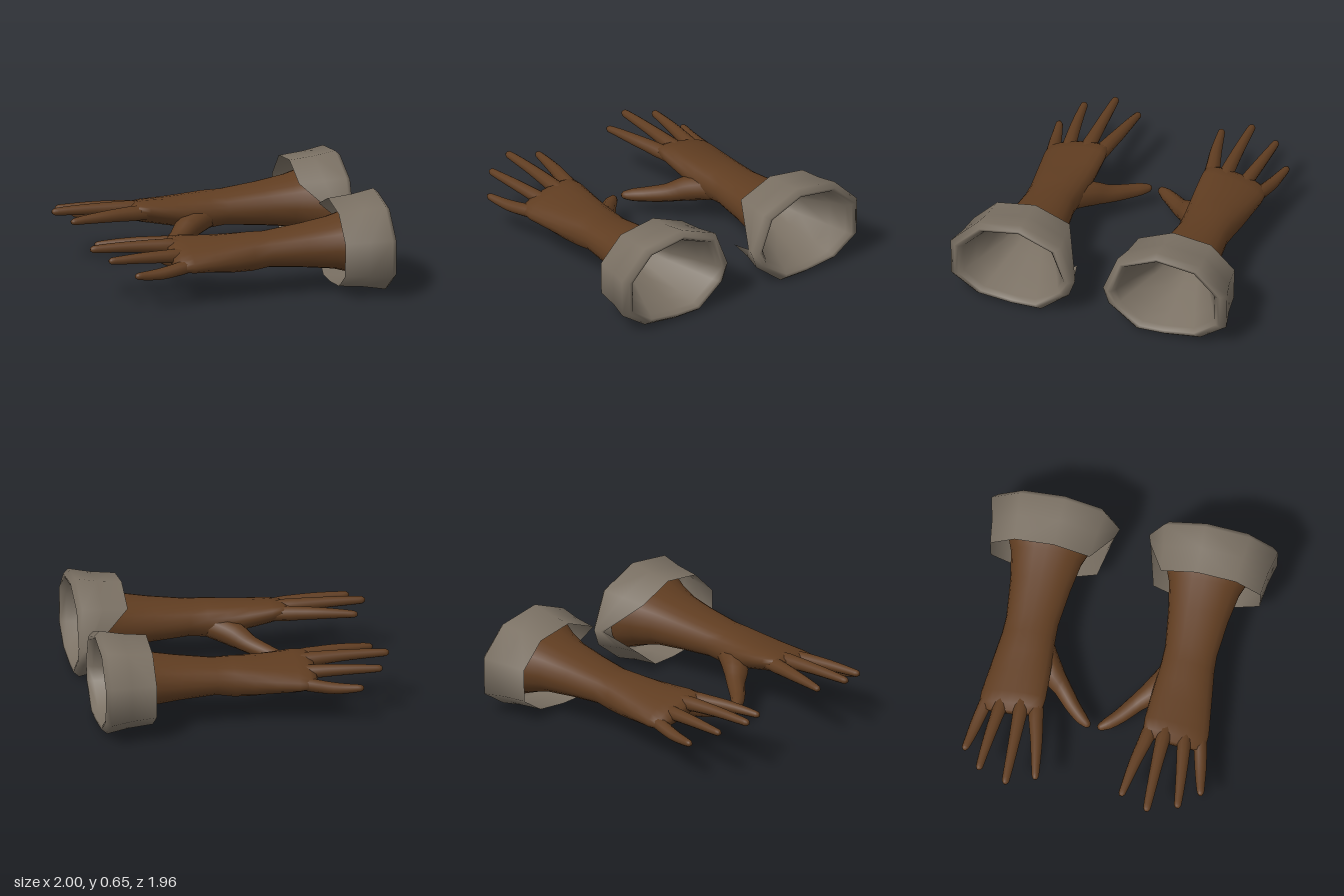
import * as THREE from 'three';

const V = (x, y, z) => new THREE.Vector3(x, y, z);

// Skin a list of equal-length rings, optionally closing the ends; mirror flips z.
function loft(rings, { start, end, mirror } = {}) {
  const n = rings[0].length, pos = [], idx = [];
  const push = (p) => pos.push(p.x, p.y, mirror ? -p.z : p.z);
  const tri = (a, b, c) => (mirror ? idx.push(a, c, b) : idx.push(a, b, c));
  rings.forEach((r) => r.forEach(push));
  for (let i = 0; i < rings.length - 1; i++) {
    for (let j = 0; j < n; j++) {
      const a = i * n + j, b = i * n + ((j + 1) % n);
      tri(a, b, a + n);
      tri(b, b + n, a + n);
    }
  }
  const cap = (i, first) => {
    const c = pos.length / 3;
    push(rings[i].reduce((s, p) => s.add(p), V(0, 0, 0)).divideScalar(n));
    for (let j = 0; j < n; j++) {
      const a = i * n + j, b = i * n + ((j + 1) % n);
      if (first) tri(c, b, a); else tri(c, a, b);
    }
  };
  if (start) cap(0, true);
  if (end) cap(rings.length - 1, false);
  const g = new THREE.BufferGeometry();
  g.setAttribute('position', new THREE.Float32BufferAttribute(pos, 3));
  g.setIndex(idx);
  g.computeVertexNormals();
  return g;
}

// Tapered round limb through [x, y, z, radius] stations
function limbRings(stations, sides = 10) {
  const curve = new THREE.CatmullRomCurve3(stations.map(([x, y, z]) => V(x, y, z)));
  const up = V(0, 1, 0), last = stations.length - 1, steps = last * 3, rings = [];
  for (let i = 0; i <= steps; i++) {
    const t = i / steps, k = Math.min(Math.floor(t * last), last - 1);
    const r = THREE.MathUtils.lerp(stations[k][3], stations[k + 1][3], t * last - k);
    const c = curve.getPoint(t), d = curve.getTangent(t);
    const side = up.clone().cross(d).normalize(), top = d.clone().cross(side);
    rings.push(Array.from({ length: sides }, (_, j) => {
      const a = (j / sides) * Math.PI * 2;
      return c.clone().addScaledVector(side, r * Math.cos(a)).addScaledVector(top, r * Math.sin(a));
    }));
  }
  return rings;
}

// Forearm to knuckles: x, z min, z max, y min, y max, tilt toward the little finger
const ARM = [
  [0.9, 0.19, 0.89, 0.07, 0.57, 0],
  [0.78, 0.25, 0.83, 0.115, 0.52, 0],
  [0.65, 0.3, 0.78, 0.15, 0.485, 0],
  [0.45, 0.335, 0.745, 0.172, 0.452, 0],
  [0.2, 0.365, 0.72, 0.192, 0.42, 0],
  [0.08, 0.362, 0.725, 0.175, 0.42, -0.03],
  [-0.05, 0.352, 0.742, 0.185, 0.41, -0.08],
  [-0.2, 0.343, 0.76, 0.21, 0.4, -0.14],
  [-0.35, 0.338, 0.778, 0.235, 0.395, -0.2],
  [-0.43, 0.345, 0.775, 0.255, 0.385, -0.22],
  [-0.475, 0.39, 0.73, 0.285, 0.36, -0.22],
];

function armRings() {
  const sides = 20;
  return ARM.map(([x, z0, z1, y0, y1, tilt]) => Array.from({ length: sides }, (_, j) => {
    const a = (j / sides) * Math.PI * 2, c = Math.cos(a), s = Math.sin(a);
    const dz = (z1 - z0) / 2 * Math.sign(c) * Math.abs(c) ** 0.9;
    const dy = (y1 - y0) / 2 * Math.sign(s) * Math.abs(s) ** 0.9;
    return V(x, (y0 + y1) / 2 + dy + tilt * dz, (z0 + z1) / 2 + dz);
  }));
}

const DIGITS = {
  indexFinger: [[-0.32, 0.345, 0.4, 0.045], [-0.46, 0.35, 0.382, 0.051], [-0.65, 0.355, 0.34, 0.041],
    [-0.83, 0.352, 0.308, 0.029], [-0.9, 0.348, 0.296, 0.023], [-0.918, 0.346, 0.293, 0.012]],
  middleFinger: [[-0.32, 0.345, 0.495, 0.045], [-0.46, 0.36, 0.488, 0.05], [-0.7, 0.372, 0.484, 0.038],
    [-0.9, 0.374, 0.483, 0.03], [-0.98, 0.373, 0.483, 0.025], [-1.0, 0.372, 0.483, 0.012]],
  ringFinger: [[-0.32, 0.315, 0.61, 0.045], [-0.46, 0.328, 0.63, 0.047], [-0.68, 0.338, 0.657, 0.037],
    [-0.83, 0.339, 0.672, 0.029], [-0.905, 0.339, 0.678, 0.024], [-0.923, 0.338, 0.679, 0.012]],
  littleFinger: [[-0.3, 0.29, 0.7, 0.045], [-0.44, 0.27, 0.737, 0.045], [-0.58, 0.252, 0.768, 0.04],
    [-0.69, 0.252, 0.79, 0.031], [-0.755, 0.256, 0.804, 0.024], [-0.775, 0.257, 0.807, 0.012]],
  thumb: [[0.06, 0.28, 0.46, 0.09], [-0.1, 0.23, 0.35, 0.085], [-0.19, 0.19, 0.255, 0.062],
    [-0.29, 0.163, 0.165, 0.052], [-0.36, 0.152, 0.09, 0.043], [-0.397, 0.15, 0.04, 0.025], [-0.404, 0.15, 0.028, 0.01]],
};

// Ten-sided cuff outline as [z, y]; corner 4 carries the V-shaped slit
const OUTLINE = [[0.98, 0.42], [0.79, 0.61], [0.48, 0.655], [0.2, 0.54], [0.1, 0.28],
  [0.14, 0.165], [0.34, 0.005], [0.54, 0.005], [0.79, 0.035], [0.975, 0.16]];
const SLIT = 4;

const cuffRing = (x, s, slitX = x, slitS = s) => OUTLINE.map(([z, y], j) => {
  const k = j === SLIT ? slitS : s;
  return V(j === SLIT ? slitX : x, 0.31 + (y - 0.31) * k, 0.54 + (z - 0.54) * k);
});

// Inner funnel, rolled rim, then outer wall
const cuffRings = () => [
  cuffRing(0.5, 0.33), cuffRing(0.65, 0.44), cuffRing(0.85, 0.68), cuffRing(0.96, 0.79),
  cuffRing(0.995, 0.85), cuffRing(1, 0.91), cuffRing(0.965, 1),
  cuffRing(0.82, 0.92, 0.925, 0.97), cuffRing(0.65, 0.87, 0.9, 0.95),
];

export function createModel() {
  const skin = new THREE.MeshStandardMaterial({ color: 0x603d21 });
  skin.name = 'brown skin';
  const cloth = new THREE.MeshStandardMaterial({ color: 0x7a7063, side: THREE.DoubleSide });
  cloth.name = 'grey cloth';
  const dark = new THREE.MeshStandardMaterial({ color: 0x090909 });
  dark.name = 'dark hollow';

  const model = new THREE.Group();
  model.name = 'pairOfHands';
  for (const mirror of [false, true]) {
    const hand = new THREE.Group();
    hand.name = mirror ? 'backHand' : 'frontHand';
    const add = (name, rings, material, options) => {
      const mesh = new THREE.Mesh(loft(rings, { ...options, mirror }), material);
      mesh.name = name;
      hand.add(mesh);
    };
    add('forearmAndPalm', armRings(), skin, { end: true });
    for (const [name, stations] of Object.entries(DIGITS)) add(name, limbRings(stations), skin, { end: true });
    add('cuff', cuffRings(), cloth);
    add('cuffHollow', [cuffRing(0.5, 0.335)], dark, { start: true });
    model.add(hand);
  }
  return model;
}
